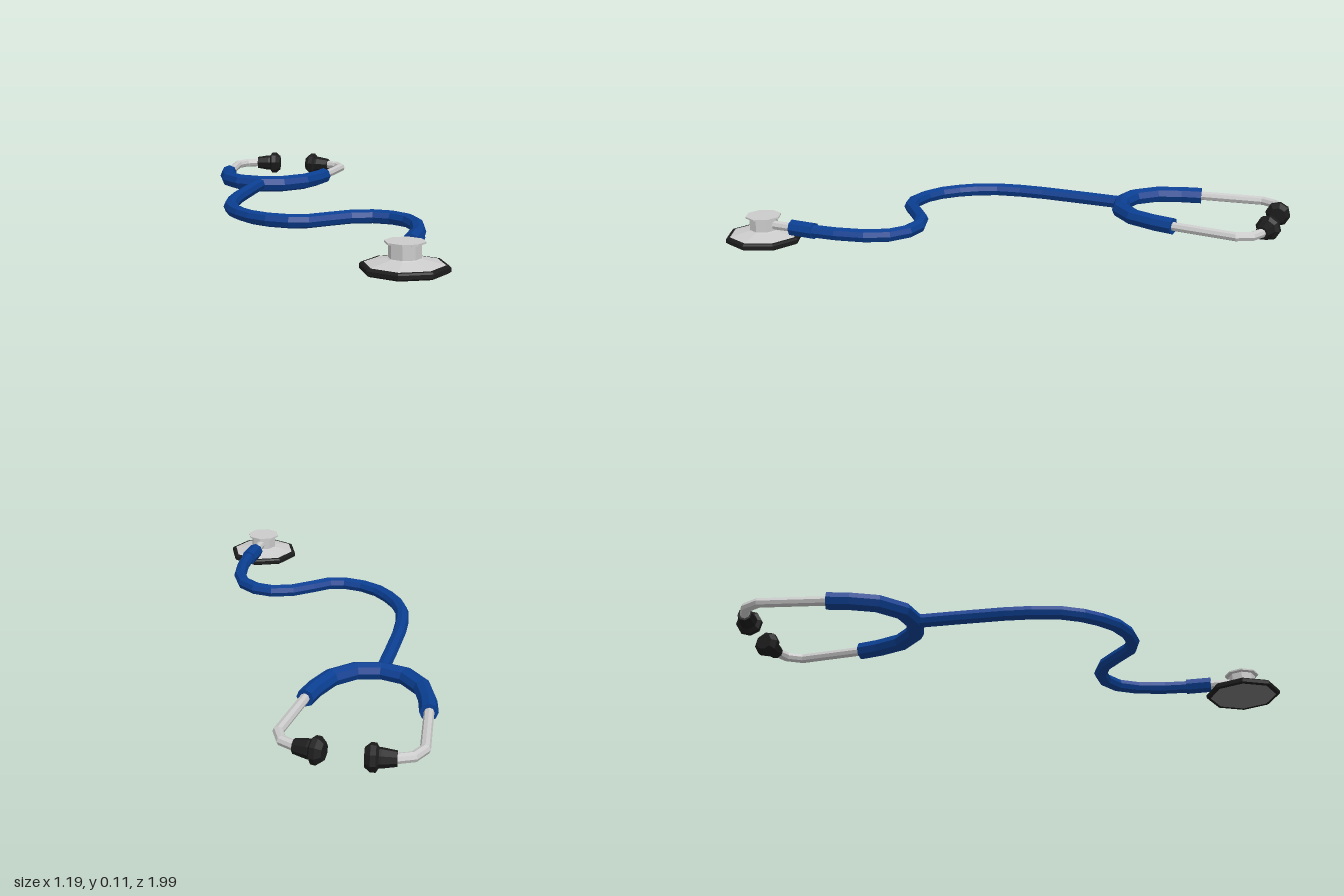
import * as THREE from 'three';

const SIDES = 8;
const Y = 0.065; // height of all tube centre lines
const YOKE_X = -0.335; // mirror line of the headset

const mat = (color) => new THREE.MeshStandardMaterial({ color, flatShading: true });

// Capped, mitred tube lying flat along [x, z] points
function flatTube(points, radius) {
  const p = points.map(([x, z]) => new THREE.Vector2(x, z));
  const pos = [], idx = [];
  const n = p.length;
  p.forEach((c, i) => {
    const d0 = p[i].clone().sub(p[Math.max(i - 1, 0)]).normalize();
    const d1 = p[Math.min(i + 1, n - 1)].clone().sub(p[i]).normalize();
    const t = d0.clone().add(d1).normalize();
    const miter = 1 / t.dot(i < n - 1 ? d1 : d0);
    for (let j = 0; j < SIDES; j++) {
      const a = (j / SIDES) * Math.PI * 2;
      const s = Math.cos(a) * radius * miter;
      pos.push(c.x - t.y * s, Y + Math.sin(a) * radius, c.y + t.x * s);
    }
  });
  for (let i = 0; i < n - 1; i++) {
    for (let j = 0; j < SIDES; j++) {
      const a = i * SIDES + j, b = i * SIDES + ((j + 1) % SIDES);
      idx.push(a, a + SIDES, b, b, a + SIDES, b + SIDES);
    }
  }
  // End caps as fans
  const e = (n - 1) * SIDES;
  for (let j = 1; j < SIDES - 1; j++) idx.push(0, j, j + 1, e, e + j + 1, e + j);
  const g = new THREE.BufferGeometry();
  g.setAttribute('position', new THREE.Float32BufferAttribute(pos, 3));
  g.setIndex(idx);
  g.computeVertexNormals();
  return g;
}

// Lathe from [radius, height] pairs, listed bottom to top
const lathe = (profile) =>
  new THREE.LatheGeometry(profile.map(([r, y]) => new THREE.Vector2(r, y)), SIDES);

export function createModel() {
  const model = new THREE.Group();
  model.name = 'stethoscope';
  const blue = mat(0x0b3f92), metal = mat(0xcccccc), black = mat(0x1c1c1c), grey = mat(0x777777);

  const add = (name, geometry, material, parent = model) => {
    const mesh = new THREE.Mesh(geometry, material);
    mesh.name = name;
    parent.add(mesh);
    return mesh;
  };

  // Main hose
  add('hose', flatTube([
    [-0.335, -0.33], [-0.337, -0.18], [-0.337, 0], [-0.33, 0.1], [-0.312, 0.2],
    [-0.275, 0.28], [-0.23, 0.34], [-0.175, 0.392], [-0.105, 0.427], [-0.025, 0.44],
    [0.037, 0.425], [0.1, 0.37], [0.17, 0.312], [0.25, 0.285], [0.322, 0.295],
    [0.387, 0.34], [0.428, 0.42], [0.449, 0.53], [0.455, 0.64],
  ], 0.026), blue);

  // U-shaped yoke, half of it mirrored
  const half = [[-0.215, -0.61], [-0.198, -0.53], [-0.163, -0.435], [-0.09, -0.36]];
  const yoke = [
    ...half.map(([x, z]) => [YOKE_X + x, z]),
    [YOKE_X, -0.338],
    ...half.map(([x, z]) => [YOKE_X - x, z]).reverse(),
  ];
  add('yoke', flatTube(yoke, 0.033), blue);

  // Ear tubes and ear tips
  const tip = lathe([
    [0, 0], [0.026, 0], [0.034, 0.05], [0.034, 0.058], [0.048, 0.067],
    [0.048, 0.085], [0.032, 0.104], [0, 0.104],
  ]);
  for (const [side, s] of [['right', -1], ['left', 1]]) {
    add(side + 'EarTube', flatTube([
      [0.213, -0.59], [0.243, -0.857], [0.216, -0.913], [0.155, -0.942], [0.13, -0.945],
    ].map(([x, z]) => [YOKE_X + s * x, z]), 0.018), metal);
    const ear = add(side + 'EarTip', tip, black);
    ear.position.set(YOKE_X + s * 0.168, Y, -0.937);
    ear.quaternion.setFromUnitVectors(
      new THREE.Vector3(0, 1, 0),
      new THREE.Vector3(-s, 0, -0.14).normalize()
    );
  }

  // Sleeve and stem joining the hose to the chest piece
  add('sleeve', flatTube([[0.452, 0.62], [0.448, 0.72]], 0.032), blue);
  add('stem', flatTube([[0.448, 0.7], [0.447, 0.83]], 0.018), metal);

  // Chest piece
  const chest = new THREE.Group();
  chest.name = 'chestPiece';
  chest.position.set(0.447, 0, 0.847);
  model.add(chest);
  add('bell', lathe([
    [0.14, 0.022], [0.128, 0.027], [0.06, 0.042], [0.054, 0.045], [0.054, 0.09],
    [0.068, 0.093], [0.068, 0.099], [0, 0.099],
  ]), metal, chest);
  add('rim', lathe([
    [0.13, 0.004], [0.14, 0], [0.148, 0.006], [0.148, 0.019], [0.142, 0.025], [0.132, 0.026],
  ]), black, chest);
  add('diaphragm', lathe([[0, 0.003], [0.134, 0.003]]), grey, chest);
  return model;
}
